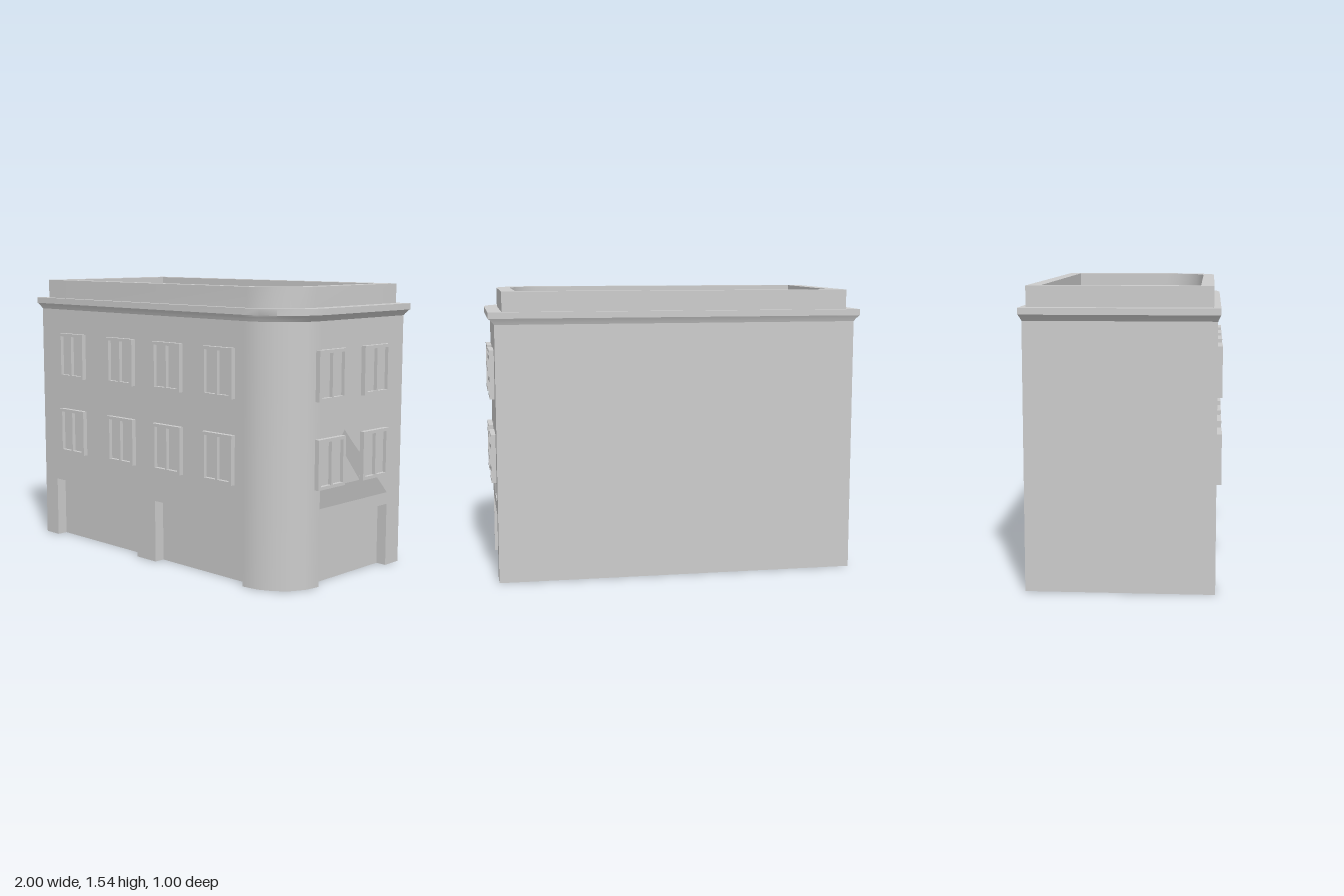
import * as THREE from 'three';
import { toCreasedNormals } from 'three/addons/utils/BufferGeometryUtils.js';

const mat = new THREE.MeshStandardMaterial({ color: 0xcccccc, side: THREE.DoubleSide });
const WALL_TOP = 1.38;

function add(parent, name, geometry) {
  const mesh = new THREE.Mesh(geometry, mat);
  mesh.name = name;
  parent.add(mesh);
  return mesh;
}

const path = (Type, pts) => new Type(pts.map(([x, y]) => new THREE.Vector2(x, y)));
const rect = (x0, y0, x1, y1) => [[x0, y0], [x1, y0], [x1, y1], [x0, y1]];

// Plan outline with one rounded corner at front +x; (cx, cz) is the arc centre
function plan(x0, x1, z0, z1, cx, cz) {
  const pts = [[x0, z1]];
  for (let i = 0; i <= 5; i++) {
    const a = (i / 5) * Math.PI / 2;
    pts.push([cx + Math.sin(a) * (x1 - cx), cz + Math.cos(a) * (z1 - cz)]);
  }
  pts.push([x1, z0], [x0, z0]);
  return pts;
}

// Skin between plan outlines at successive heights
function loft(rings) {
  const pos = [], idx = [], n = rings[0].pts.length;
  rings.forEach(({ y, pts }) => pts.forEach(([x, z]) => pos.push(x, y, z)));
  for (let r = 0; r < rings.length - 1; r++) {
    for (let i = 0; i < n; i++) {
      const a = r * n + i, b = r * n + (i + 1) % n;
      idx.push(a, b, b + n, a, b + n, a + n);
    }
  }
  const g = new THREE.BufferGeometry();
  g.setAttribute('position', new THREE.Float32BufferAttribute(pos, 3));
  g.setIndex(idx);
  return toCreasedNormals(g, 0.6);
}

// Flat wall with shop notches at the bottom and holes
function wall(u0, u1, shops, holes) {
  const pts = [[u0, 0]];
  shops.forEach(([a, b, h]) => pts.push([a, 0], [a, h], [b, h], [b, 0]));
  pts.push([u1, 0], [u1, WALL_TOP], [u0, WALL_TOP]);
  const shape = path(THREE.Shape, pts);
  holes.forEach((h) => shape.holes.push(path(THREE.Path, h)));
  return new THREE.ShapeGeometry(shape);
}

// Recessed shop front: back panel, two reveals and a soffit
function shopFront(parent, [a, b, h]) {
  const d = 0.06, g = new THREE.Group(), mid = (a + b) / 2;
  g.name = 'shopFront';
  add(g, 'shopPanel', new THREE.PlaneGeometry(b - a, h)).position.set(mid, h / 2, -d);
  for (const [x, s] of [[a, 1], [b, -1]]) {
    const reveal = add(g, 'shopReveal', new THREE.PlaneGeometry(d, h));
    reveal.rotation.y = s * Math.PI / 2;
    reveal.position.set(x, h / 2, -d / 2);
  }
  const soffit = add(g, 'shopSoffit', new THREE.PlaneGeometry(b - a, d));
  soffit.rotation.x = Math.PI / 2;
  soffit.position.set(mid, h, -d / 2);
  parent.add(g);
}

// Projecting double window
function windowUnit(parent, x, y) {
  const g = new THREE.Group(), w = 0.109, h = 0.13;
  g.name = 'window';
  const frame = path(THREE.Shape, rect(-w, -h, w, h));
  for (const s of [-1, 1]) {
    const c = s * 0.0475;
    frame.holes.push(path(THREE.Path, rect(c - 0.041, -0.113, c + 0.041, 0.113)));
  }
  add(g, 'windowFrame', new THREE.ExtrudeGeometry(frame, { depth: 0.026, bevelEnabled: false }));
  add(g, 'windowPane', new THREE.PlaneGeometry(0.2, 0.24)).position.z = 0.006;
  g.position.set(x, y, 0);
  parent.add(g);
}

export function createModel() {
  const model = new THREE.Group();
  model.name = 'cornerBuilding';
  const X0 = -0.97, X1 = 0.965, Z0 = -0.485, Z1 = 0.475, CX = 0.685, CZ = 0.21;

  // Front facade
  const front = new THREE.Group();
  front.name = 'frontFacade';
  front.position.z = Z1;
  const frontShops = [[-0.86, -0.135, 0.345], [0.015, 0.68, 0.345]];
  const frontHoles = [[[0.626, 1.235], [0.645, 1.235], [0.626, 0.97]]];
  for (const x of [-0.68, -0.25, 0.13, 0.513]) {
    for (const y of [0.655, 1.102]) {
      frontHoles.push(rect(x - 0.095, y - 0.115, x + 0.095, y + 0.115));
      windowUnit(front, x, y);
    }
  }
  add(front, 'frontWall', wall(X0, CX, frontShops, frontHoles));
  frontShops.forEach((s) => shopFront(front, s));

  // Side facade, drawn with u = -z, with gaps around the lower windows
  const side = new THREE.Group();
  side.name = 'sideFacade';
  side.position.x = X1;
  side.rotation.y = Math.PI / 2;
  const sideShop = [-0.205, 0.37, 0.345];
  const gaps = [
    [[-0.205, 0.41], [0.37, 0.41], [0.27, 0.515], [-0.205, 0.515]],
    [[-0.03, 0.7], [0.12, 0.52], [0.125, 0.66], [0.055, 0.73], [-0.01, 0.8], [-0.035, 0.77]],
  ];
  add(side, 'sideWall', wall(-CZ, -Z0, [sideShop], gaps));
  shopFront(side, sideShop);
  for (const u of [-0.14, 0.23]) for (const y of [0.645, 1.097]) windowUnit(side, u, y);

  // Rounded corner
  const corner = add(model, 'roundedCorner',
    new THREE.CylinderGeometry(1, 1, WALL_TOP, 5, 1, true, 0, Math.PI / 2));
  corner.scale.set(X1 - CX, 1, Z1 - CZ);
  corner.position.set(CX, WALL_TOP / 2, CZ);

  // Plain back and left walls
  const back = add(model, 'backWall', new THREE.PlaneGeometry(X1 - X0, WALL_TOP));
  back.rotation.y = Math.PI;
  back.position.set((X0 + X1) / 2, WALL_TOP / 2, Z0);
  const left = add(model, 'endWall', new THREE.PlaneGeometry(Z1 - Z0, WALL_TOP));
  left.rotation.y = -Math.PI / 2;
  left.position.set(X0, WALL_TOP / 2, (Z0 + Z1) / 2);

  // Cornice: t runs from the wall face to the outer lip
  const ring = (y, t) => ({
    y, pts: plan(X0 - 0.03 * t, X1 + 0.033 * t, Z0 - 0.015 * t, Z1 + 0.015 * t, CX, CZ),
  });
  const parapetOuter = plan(-0.93, 0.925, -0.47, 0.455, 0.68, 0.2);
  const parapetInner = plan(-0.855, 0.85, -0.4, 0.39, 0.62, 0.16);
  add(model, 'cornice', loft([
    ring(1.37, 0), ring(1.38, 0.25), ring(1.392, 0.6), ring(1.402, 0.95),
    ring(1.402, 1), ring(1.435, 1), { y: 1.435, pts: parapetOuter },
  ]));

  // Parapet and sunken flat roof
  add(model, 'parapet', loft([
    { y: 1.435, pts: parapetOuter }, { y: 1.54, pts: parapetOuter },
    { y: 1.54, pts: parapetInner }, { y: 1.43, pts: parapetInner },
  ]));
  const roof = new THREE.ShapeGeometry(path(THREE.Shape, parapetInner.map(([x, z]) => [x, -z])));
  add(model, 'flatRoof', roof.rotateX(-Math.PI / 2)).position.y = 1.43;

  model.add(front, side);
  return model;
}
